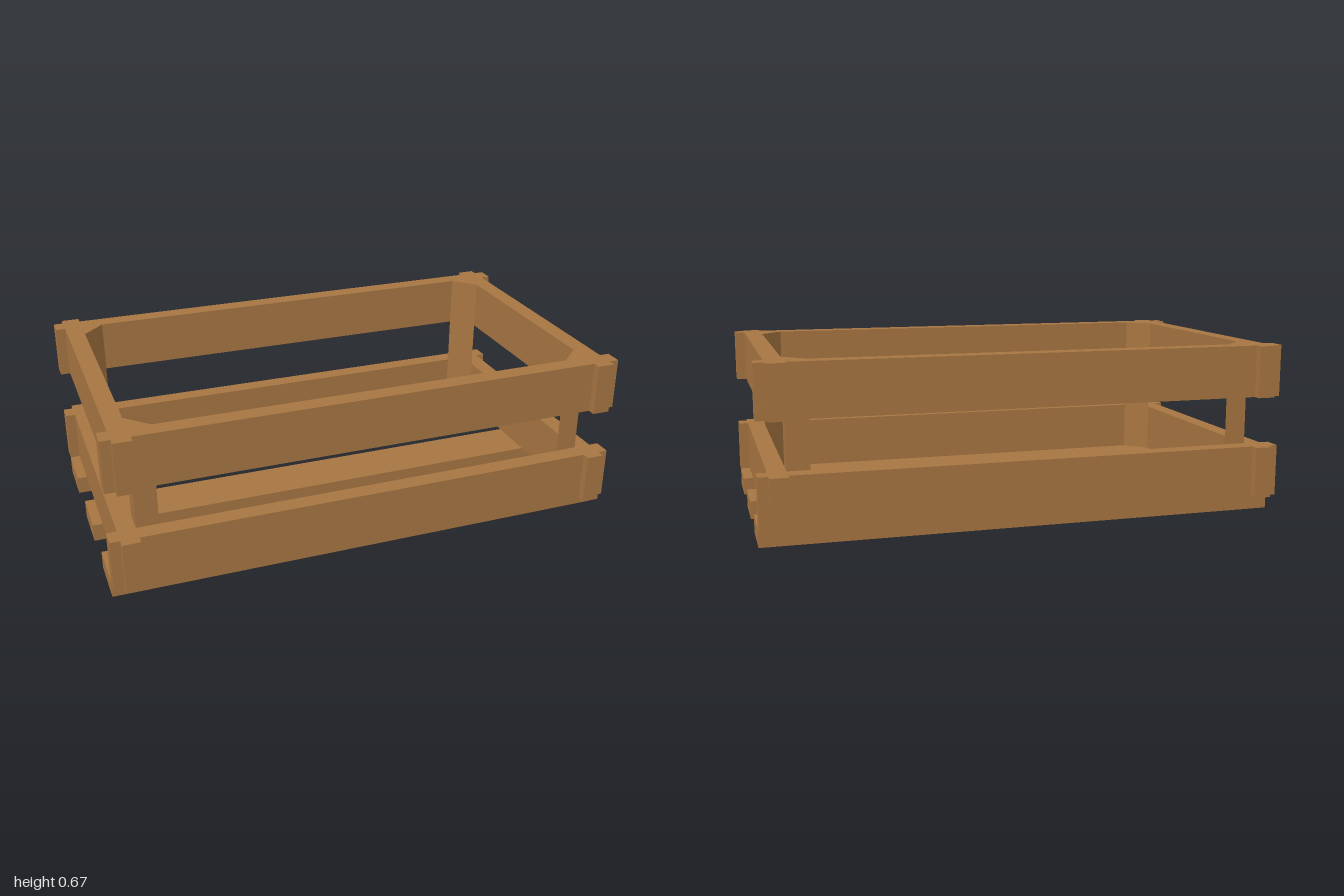
import * as THREE from 'three';

const wood = new THREE.MeshStandardMaterial({ color: 0xa87642 });
wood.name = 'wood';

export function createModel() {
  const crate = new THREE.Group();
  crate.name = 'crate';

  const add = (name, geometry, x, y, z) => {
    const mesh = new THREE.Mesh(geometry, wood);
    mesh.name = name;
    mesh.position.set(x, y, z);
    crate.add(mesh);
  };

  const slatHeight = 0.07, boardHeight = 0.2, boardThickness = 0.068;
  const innerX = 0.894, innerZ = 0.498, top = 0.665;

  // Three floor slats
  for (const z of [-0.398, 0, 0.398]) {
    add('floorSlat', new THREE.BoxGeometry(2, slatHeight, 0.2), 0, slatHeight / 2, z);
  }

  // Two rings of interlocking boards, whose ends project past the corners
  for (const y of [slatHeight + boardHeight / 2, top - boardHeight / 2]) {
    for (const side of [-1, 1]) {
      add(side > 0 ? 'frontBoard' : 'backBoard',
        new THREE.BoxGeometry(2, boardHeight, boardThickness),
        0, y, side * (innerZ + boardThickness / 2));
      add(side > 0 ? 'leftBoard' : 'rightBoard',
        new THREE.BoxGeometry(boardThickness, boardHeight, 1.194),
        side * (innerX + boardThickness / 2), y, 0);
    }
  }

  // Triangular posts in the four inner corners
  const leg = 0.084;
  for (const sx of [-1, 1]) {
    for (const sz of [-1, 1]) {
      const corner = new THREE.Shape([
        new THREE.Vector2(0, 0),
        new THREE.Vector2(-sx * leg, 0),
        new THREE.Vector2(0, sz * leg),
      ]);
      const post = new THREE.ExtrudeGeometry(corner, { depth: top - slatHeight, bevelEnabled: false });
      post.rotateX(-Math.PI / 2);
      add('cornerPost', post, sx * innerX, slatHeight, sz * innerZ);
    }
  }

  return crate;
}
